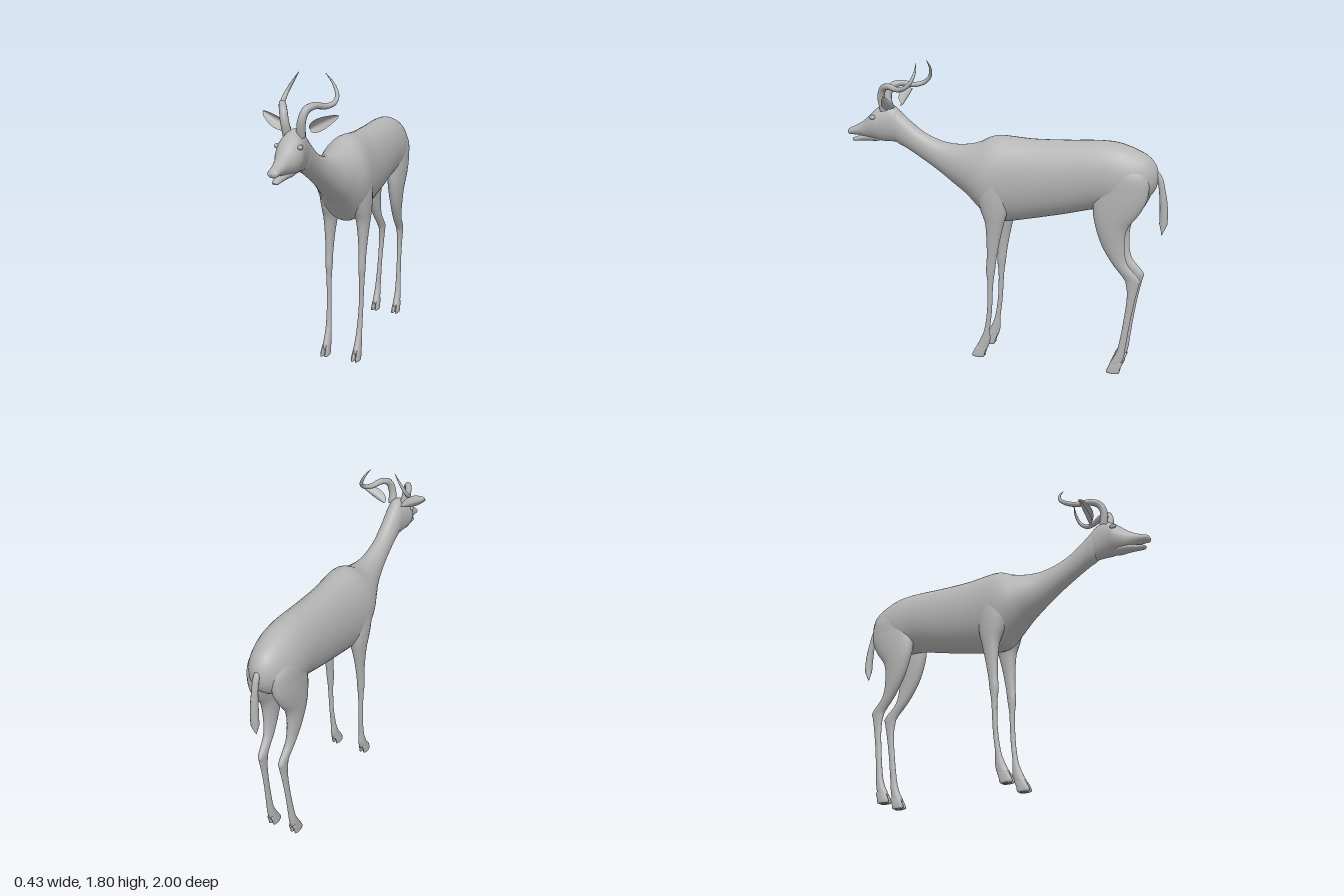
import * as THREE from 'three';

const grey = new THREE.MeshStandardMaterial({ color: 0xb4b4b4 });
grey.name = 'plain grey';
const greyShell = new THREE.MeshStandardMaterial({ color: 0xb4b4b4, side: THREE.DoubleSide });
greyShell.name = 'plain grey shell';

// Smooth loft through elliptical rings: [position, low, high, centre x, half width].
// axis 'z': rings upright, keys run towards +z. axis 'y': rings level, keys run downwards.
function loft(keys, axis, sides = 24, steps = 5) {
  const vec = (f) => new THREE.CatmullRomCurve3(keys.map(f), false, 'catmullrom', 0.5);
  const span = vec((k) => new THREE.Vector3(k[0], k[1], k[2]));
  const width = vec((k) => new THREE.Vector3(k[3], k[4], 0));
  const rows = (keys.length - 1) * steps;
  const pos = [], index = [];
  for (let j = 0; j <= rows; j++) {
    const s = span.getPoint(j / rows), w = width.getPoint(j / rows);
    const mid = (s.y + s.z) / 2, half = Math.max(0, (s.z - s.y) / 2), hw = Math.max(0, w.y);
    for (let i = 0; i < sides; i++) {
      const a = (i / sides) * Math.PI * 2;
      const x = w.x + hw * Math.cos(a), v = mid + half * Math.sin(a);
      if (axis === 'z') pos.push(x, v, s.x);
      else pos.push(x, s.x, v);
      if (j < rows) {
        const p = j * sides + i, q = j * sides + (i + 1) % sides;
        index.push(p, q, p + sides, q, q + sides, p + sides);
      }
    }
  }
  const g = new THREE.BufferGeometry();
  g.setAttribute('position', new THREE.Float32BufferAttribute(pos, 3));
  g.setIndex(index);
  g.computeVertexNormals();
  return g;
}

// Tube along points whose radius follows a list of values
function taperedTube(points, radii, segments = 48, sides = 12) {
  const curve = new THREE.CatmullRomCurve3(points.map((p) => new THREE.Vector3(...p)));
  const g = new THREE.TubeGeometry(curve, segments, 1, sides);
  const pos = g.attributes.position, v = new THREE.Vector3();
  for (let j = 0; j <= segments; j++) {
    const c = curve.getPointAt(j / segments);
    const t = (j / segments) * (radii.length - 1), k = Math.min(Math.floor(t), radii.length - 2);
    const r = THREE.MathUtils.lerp(radii[k], radii[k + 1], t - k);
    for (let i = 0; i <= sides; i++) {
      const n = j * (sides + 1) + i;
      v.fromBufferAttribute(pos, n).sub(c).multiplyScalar(r).add(c);
      pos.setXYZ(n, v.x, v.y, v.z);
    }
  }
  return g;
}

// Cupped leaf-shaped ear opening forwards
function earGeometry(s) {
  const n = 14, m = 10;
  const g = new THREE.PlaneGeometry(1, 1, n, m), pos = g.attributes.position;
  for (let k = 0; k < pos.count; k++) {
    const u = pos.getX(k) + 0.5, v = pos.getY(k) * 2;
    const w = 0.007 + 0.03 * Math.pow(Math.sin(Math.PI * Math.pow(u, 0.85)), 0.8) * (1 - 0.25 * u);
    const taper = u > 0.97 ? 0.4 : 1;
    pos.setXYZ(k, s * (0.055 + 0.16 * u - 0.42 * w * v * taper),
      1.525 + 0.08 * u + 0.88 * w * v * taper, 0.65 + 1.2 * w * v * v * taper);
  }
  g.computeVertexNormals();
  return g;
}

export function createModel() {
  const model = new THREE.Group();
  model.name = 'antelope';
  const add = (name, geometry, parent = model, material = grey) => {
    const mesh = new THREE.Mesh(geometry, material);
    mesh.name = name;
    parent.add(mesh);
    return mesh;
  };

  // Rump, barrel, chest and neck in one skin
  add('bodyAndNeck', loft([
    [-0.94, 1.2, 1.2, 0, 0], [-0.925, 1.13, 1.26, 0, 0.045], [-0.88, 1.07, 1.315, 0, 0.088],
    [-0.8, 1.02, 1.355, 0, 0.12], [-0.7, 0.99, 1.385, 0, 0.135], [-0.58, 0.985, 1.39, 0, 0.137],
    [-0.4, 0.94, 1.38, 0, 0.14], [-0.2, 0.895, 1.375, 0, 0.145], [-0.08, 0.87, 1.382, 0, 0.153],
    [0, 0.86, 1.385, 0, 0.16], [0.06, 0.875, 1.372, 0, 0.162], [0.12, 0.935, 1.342, 0, 0.152],
    [0.2, 1.01, 1.32, 0, 0.122], [0.3, 1.08, 1.315, 0, 0.086], [0.4, 1.15, 1.335, 0, 0.066],
    [0.5, 1.212, 1.38, 0, 0.056], [0.6, 1.27, 1.455, 0, 0.055], [0.66, 1.3, 1.505, 0, 0.056],
    [0.7, 1.36, 1.5, 0, 0.04], [0.72, 1.43, 1.43, 0, 0],
  ], 'z', 36));

  // Skull and muzzle, with a separate lower jaw leaving the mouth open
  const head = new THREE.Group();
  head.name = 'head';
  model.add(head);
  add('skull', loft([
    [0.62, 1.38, 1.38, 0, 0], [0.645, 1.31, 1.49, 0, 0.05], [0.7, 1.305, 1.535, 0, 0.06],
    [0.75, 1.305, 1.532, 0, 0.069], [0.79, 1.31, 1.51, 0, 0.075], [0.83, 1.315, 1.475, 0, 0.065],
    [0.87, 1.322, 1.438, 0, 0.048], [0.92, 1.332, 1.405, 0, 0.036], [0.96, 1.334, 1.386, 0, 0.031],
    [0.988, 1.335, 1.373, 0, 0.027], [1, 1.352, 1.352, 0, 0],
  ], 'z', 28), head);
  add('lowerJaw', loft([
    [0.74, 1.33, 1.33, 0, 0], [0.79, 1.304, 1.35, 0, 0.038], [0.87, 1.3, 1.345, 0, 0.031],
    [0.92, 1.295, 1.33, 0, 0.023], [0.96, 1.294, 1.316, 0, 0.018], [0.972, 1.306, 1.306, 0, 0],
  ], 'z', 20), head);

  add('tail', taperedTube(
    [[0, 1.24, -0.9], [0, 1.2, -0.94], [0, 1.1, -0.966], [0, 0.98, -0.978], [0, 0.9, -0.976], [0, 0.86, -0.971]],
    [0.018, 0.017, 0.018, 0.022, 0.024, 0.023, 0.001]));

  for (const s of [1, -1]) {
    const side = s > 0 ? 'left' : 'right';

    const eye = add(side + 'Eye', new THREE.SphereGeometry(0.017, 16, 12), head);
    eye.position.set(s * 0.066, 1.458, 0.798);
    eye.scale.set(0.75, 0.8, 1.2);

    add(side + 'Ear', earGeometry(s), head, greyShell);

    // Horn sweeps up, back and outwards, then turns up and in
    add(side + 'Horn', taperedTube([
      [0.038, 1.5, 0.73], [0.048, 1.58, 0.742], [0.064, 1.635, 0.722], [0.09, 1.653, 0.675],
      [0.125, 1.642, 0.6], [0.147, 1.655, 0.545], [0.146, 1.69, 0.505], [0.118, 1.745, 0.488], [0.077, 1.8, 0.495],
    ].map(([x, y, z]) => [s * x, y, z]), [0.025, 0.023, 0.021, 0.018, 0.015, 0.012, 0.008, 0.001], 60), head);

    // Front leg: shoulder, knee, cannon and fetlock
    add(side + 'FrontLeg', loft([
      [1.3, 0.01, 0.01, 0.085, 0], [1.2, -0.07, 0.085, 0.09, 0.058], [1.06, -0.08, 0.115, 0.095, 0.067],
      [0.95, -0.075, 0.09, 0.1, 0.057], [0.87, -0.055, 0.06, 0.106, 0.042], [0.76, -0.03, 0.051, 0.108, 0.029],
      [0.65, -0.01, 0.05, 0.108, 0.022], [0.57, 0, 0.055, 0.108, 0.021], [0.48, 0.012, 0.046, 0.108, 0.016],
      [0.32, 0.02, 0.05, 0.106, 0.014], [0.19, 0.034, 0.068, 0.103, 0.017], [0.11, 0.034, 0.098, 0.102, 0.021],
      [0.05, 0.055, 0.125, 0.102, 0.022], [0.025, 0.09, 0.09, 0.102, 0],
    ].map(([y, a, b, x, w]) => [y, a, b, s * x, w]), 'y'));

    // Hind leg: thigh, hock, cannon and fetlock
    add(side + 'HindLeg', loft([
      [1.32, -0.74, -0.74, 0.07, 0], [1.22, -0.88, -0.62, 0.07, 0.055], [1.1, -0.895, -0.59, 0.073, 0.06],
      [1, -0.855, -0.583, 0.077, 0.055], [0.9, -0.787, -0.602, 0.079, 0.046], [0.79, -0.775, -0.642, 0.077, 0.035],
      [0.685, -0.795, -0.705, 0.071, 0.026], [0.6, -0.868, -0.773, 0.066, 0.021], [0.56, -0.865, -0.79, 0.066, 0.019],
      [0.48, -0.848, -0.798, 0.067, 0.016], [0.34, -0.825, -0.785, 0.07, 0.014], [0.18, -0.805, -0.762, 0.074, 0.018],
      [0.11, -0.797, -0.74, 0.075, 0.021], [0.05, -0.78, -0.712, 0.075, 0.022], [0.025, -0.75, -0.75, 0.075, 0],
    ].map(([y, a, b, x, w]) => [y, a, b, s * x, w]), 'y'));

    // Cloven hooves, two toes on each foot
    for (const [name, x, z] of [['FrontHoof', 0.102, 0], ['HindHoof', 0.075, -0.842]]) {
      const hoof = new THREE.Group();
      hoof.name = side + name;
      model.add(hoof);
      for (const t of [-1, 1]) {
        const cx = s * x + t * 0.0135;
        add('toe', loft([
          [0.085, z + 0.08, z + 0.08, cx - t * 0.003, 0], [0.07, z + 0.05, z + 0.115, cx - t * 0.002, 0.01],
          [0.035, z + 0.062, z + 0.137, cx, 0.0125], [0.002, z + 0.07, z + 0.147, cx, 0.013], [0, z + 0.1, z + 0.1, cx, 0],
        ], 'y', 14, 3), hoof);
      }
    }
  }
  return model;
}
